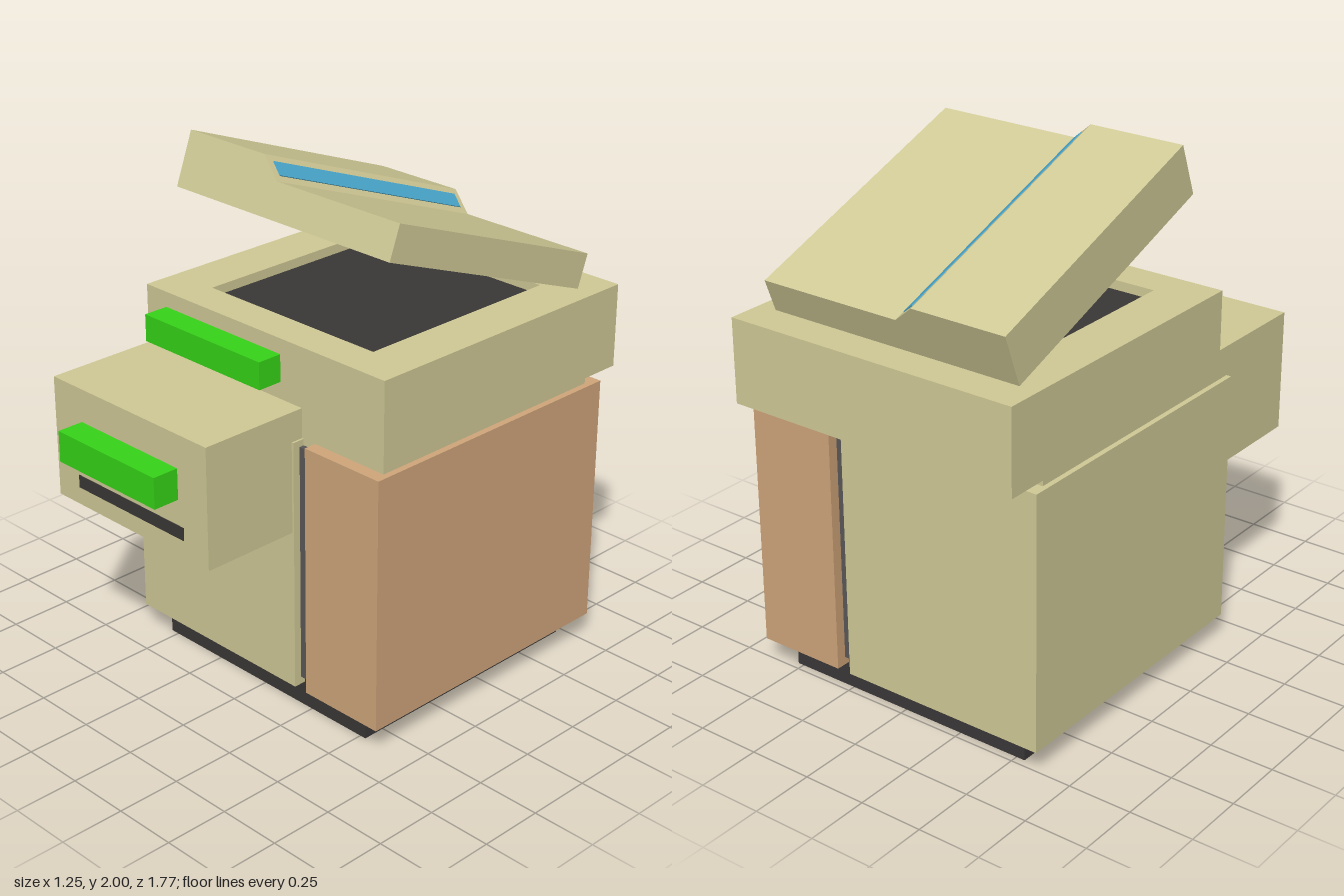
import * as THREE from 'three';

const paint = (color) => new THREE.MeshStandardMaterial({ color, side: THREE.DoubleSide });

export function createModel() {
  const root = new THREE.Group();
  const beige = paint(0xd0ca96), brown = paint(0xd0a67b), dark = paint(0x3a3737);
  const grey = paint(0x5a5757), green = paint(0x36d418), blue = paint(0x4aaad0);

  function add(parent, name, geometry, material) {
    const mesh = new THREE.Mesh(geometry, material);
    mesh.name = name;
    parent.add(mesh);
    return mesh;
  }

  // Box given by its limits on each axis
  function box(parent, name, material, [x0, x1], [y0, y1], [z0, z1]) {
    const g = new THREE.BoxGeometry(x1 - x0, y1 - y0, z1 - z0);
    g.translate((x0 + x1) / 2, (y0 + y1) / 2, (z0 + z1) / 2);
    return add(parent, name, g, material);
  }

  // Corners of a rectangle in x and z
  const corners = ([x0, x1], [z0, z1]) => [[x0, z0], [x1, z0], [x1, z1], [x0, z1]];

  // Flat slab with a rectangular hole
  function frame(parent, name, material, outer, hole, y, height) {
    const path = (r) => corners(...r).map(([x, z]) => new THREE.Vector2(x, -z));
    const shape = new THREE.Shape(path(outer));
    shape.holes.push(new THREE.Path(path(hole)));
    const g = new THREE.ExtrudeGeometry(shape, { depth: height, bevelEnabled: false });
    g.rotateX(-Math.PI / 2).translate(0, y, 0);
    return add(parent, name, g, material);
  }

  // Plinth, inner core and the two cabinet halves
  box(root, 'plinth', dark, [-0.535, 0.525], [0, 1.06], [-0.72, 0.34]);
  box(root, 'gapPanel', grey, [0.2, 0.28], [0.13, 1.065], [-0.74, 0.36]);
  box(root, 'mainCabinet', beige, [-0.63, 0.213], [0.1, 1.09], [-0.78, 0.39]);
  box(root, 'sideCabinet', brown, [0.27, 0.625], [0.1, 1.09], [-0.78, 0.39]);

  // Scanner housing with a sunken glass bed
  const wide = [-0.61, 0.6], deep = [-0.885, 0.34];
  const bedX = [-0.415, 0.405], bedZ = [-0.675, 0.195];
  box(root, 'housingNeck', beige, wide, [1.06, 1.11], [-0.72, 0.34]);
  box(root, 'scannerHousing', beige, wide, [1.11, 1.395], deep);
  frame(root, 'bedFrame', beige, [wide, deep], [bedX, bedZ], 1.395, 0.04);
  box(root, 'glassBed', dark, bedX, [1.38, 1.398], bedZ);

  // Front feeder with slot and the two handles
  box(root, 'frontFeeder', beige, [-0.61, 0.205], [0.735, 1.205], [0.3, 0.785]);
  box(root, 'paperSlot', dark, [-0.49, 0.08], [0.805, 0.855], [0.77, 0.788]);
  box(root, 'upperHandle', green, [-0.505, 0.098], [1.27, 1.375], [0.33, 0.44]);
  box(root, 'lowerHandle', green, [-0.46, 0.055], [0.955, 1.075], [0.78, 0.89]);

  // Raised lid, hinged at its back edge; local z runs from hinge to front
  const lid = new THREE.Group();
  lid.name = 'lid';
  lid.position.set(0, 1.435, -0.745);
  lid.rotation.x = -0.358;
  root.add(lid);
  const length = 1.057, depth = 0.056, inset = 0.037, high = 0.209, low = 0.133;
  const profile = [[-0.535, depth], [0.525, depth], [0.525, low], [-0.06, low], [-0.15, high], [-0.535, high]];
  const lidShape = new THREE.Shape(profile.map(([x, y]) => new THREE.Vector2(x, y)));
  add(lid, 'lidCover', new THREE.ExtrudeGeometry(lidShape, { depth: length, bevelEnabled: false }), beige);

  // Underside frame with a sloped recess around the panel
  const holeX = [-0.415, 0.405], holeZ = [0.07, 0.93];
  const innerX = [holeX[0] + inset, holeX[1] - inset], innerZ = [holeZ[0] + inset, holeZ[1] - inset];
  frame(lid, 'lidRim', beige, [[-0.535, 0.525], [0, length]], [holeX, holeZ], 0, depth);
  const rim = corners(holeX, holeZ), floor = corners(innerX, innerZ), points = [];
  for (let i = 0; i < 4; i++) {
    const j = (i + 1) % 4;
    const a = [rim[i][0], 0, rim[i][1]], b = [rim[j][0], 0, rim[j][1]];
    const c = [floor[j][0], depth, floor[j][1]], d = [floor[i][0], depth, floor[i][1]];
    points.push(...a, ...c, ...b, ...a, ...d, ...c);
  }
  const slopes = new THREE.BufferGeometry();
  slopes.setAttribute('position', new THREE.Float32BufferAttribute(points, 3));
  slopes.computeVertexNormals();
  add(lid, 'lidRecessWalls', slopes, beige);
  box(lid, 'lidPanel', blue, innerX, [depth - 0.003, depth + 0.01], innerZ);

  // Blue strip lying on the slope between the two lid levels
  const strip = add(lid, 'lidStrip', new THREE.BoxGeometry(0.062, 0.006, 1.0), blue);
  strip.position.set(-0.105, (high + low) / 2, length / 2);
  strip.rotation.z = -Math.atan2(high - low, 0.09);

  return root;
}
